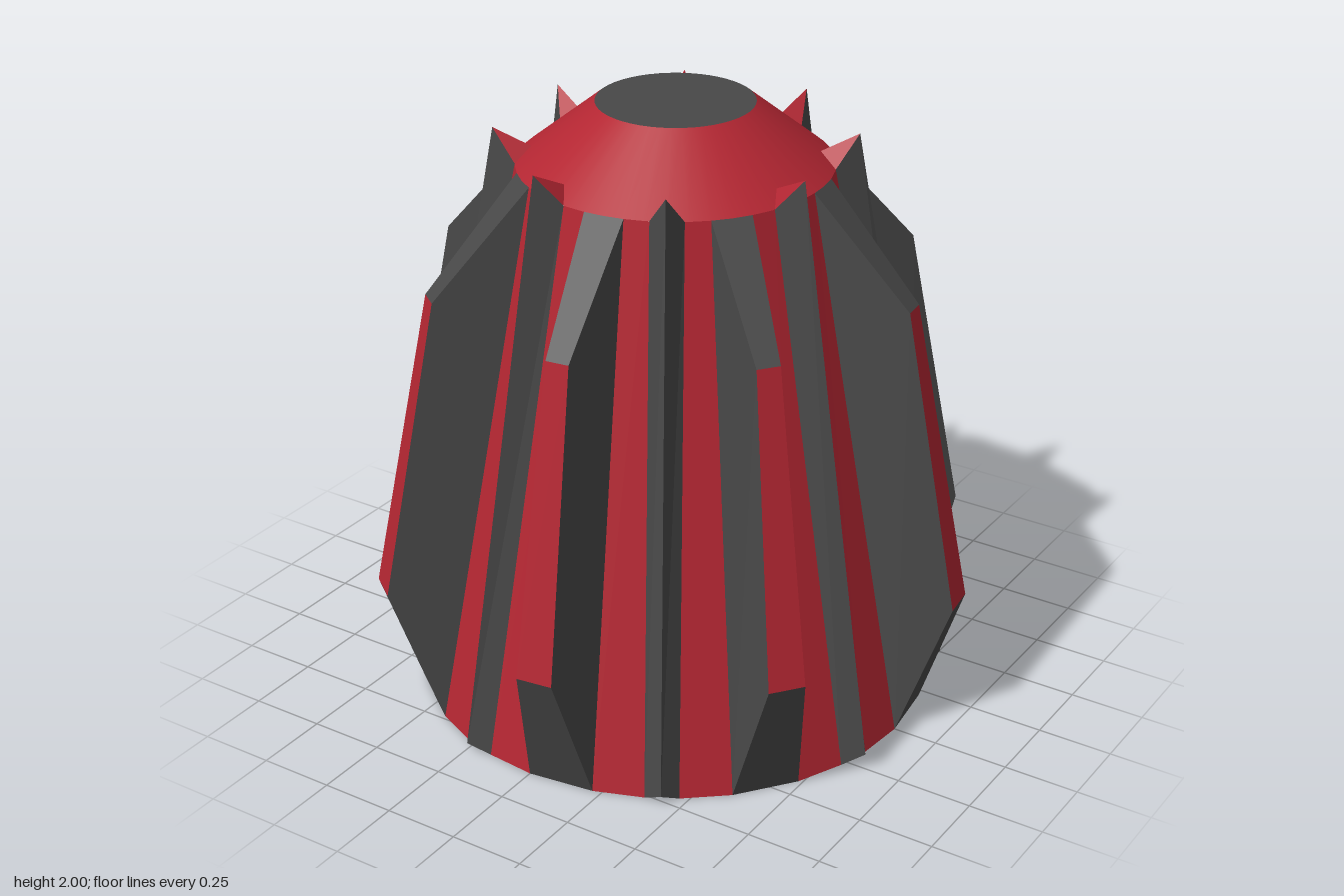
import * as THREE from 'three';

const red = new THREE.MeshStandardMaterial({ color: 0xb32632 });
red.name = 'red';
const grey = new THREE.MeshStandardMaterial({ color: 0x484848 });
grey.name = 'dark grey';

// Point at an angle (degrees from the front towards +x), radius and height
const P = (deg, r, y) => {
  const a = THREE.MathUtils.degToRad(deg);
  return [r * Math.sin(a), y, r * Math.cos(a)];
};

// Flat-faced geometry from convex polygons, corners counter-clockwise from outside
function facets(polygons) {
  const pos = [];
  for (const p of polygons)
    for (let i = 1; i < p.length - 1; i++) pos.push(...p[0], ...p[i], ...p[i + 1]);
  const g = new THREE.BufferGeometry();
  g.setAttribute('position', new THREE.Float32BufferAttribute(pos, 3));
  g.computeVertexNormals();
  return g;
}

function addMesh(parent, name, geometry, material) {
  const m = new THREE.Mesh(geometry, material);
  m.name = name;
  parent.add(m);
  return m;
}

const RB = 0.85, RT = 0.5, YT = 1.8; // body radii at floor and shoulder, shoulder height
const CENTRE = [0, 0, 0];

// Red wall panels and floor of one 45 degree sector
function wallGeometry() {
  const polys = [];
  for (const [a, b, c, d] of [[15, 26.3, 15, 24], [33.7, 45, 36, 45]]) {
    polys.push([P(a, RB, 0), P(b, RB, 0), P(d, RT, YT), P(c, RT, YT)]);
    polys.push([CENTRE, P(b, RB, 0), P(a, RB, 0)]);
  }
  polys.push([CENTRE, P(15, RB, 0), P(0, RB, 0)]);
  return facets(polys);
}

// Broad fin: tapered sides, sloping ends, red outer strip
function finGeometries() {
  const bB = [P(0, RB, 0), P(15, RB, 0)];
  const bT = [P(0, RT, YT), P(15, RT, YT)];
  const oB = [P(4.1, 1.003, 0.46), P(10.9, 1.003, 0.46)];
  const oT = [P(4.8, 0.808, 1.45), P(10.2, 0.808, 1.45)];
  return {
    sides: facets([
      [bB[0], oB[0], oT[0], bT[0]],
      [bT[1], oT[1], oB[1], bB[1]],
      [bB[0], bB[1], oB[1], oB[0]],
      [oT[0], oT[1], bT[1], bT[0]],
    ]),
    strip: facets([[oB[0], oB[1], oT[1], oT[0]]]),
  };
}

// Narrow ridge: sharp edge, grooved underside, red-backed spike at the shoulder
function ridgeGeometries() {
  const lB = P(26.3, RB, 0), rB = P(33.7, RB, 0);
  const lT = P(24, RT, YT), rT = P(36, RT, YT);
  const low = P(30, 0.9, 0.04), tip = P(30, 0.57, 1.9), inner = P(30, 0.45, 1.84);
  return {
    sides: facets([
      [lB, low, tip, lT],
      [low, rB, rT, tip],
      [CENTRE, low, lB],
      [CENTRE, rB, low],
    ]),
    back: facets([[inner, lT, tip], [inner, tip, rT]]),
  };
}

export function createModel() {
  const model = new THREE.Group();
  model.name = 'finnedBody';

  const wall = wallGeometry(), fin = finGeometries(), ridge = ridgeGeometries();
  for (let i = 0; i < 8; i++) {
    const sector = new THREE.Group();
    sector.name = `sector${i + 1}`;
    sector.rotation.y = (i * Math.PI) / 4;
    addMesh(sector, 'wall', wall, red);
    addMesh(sector, 'fin', fin.sides, grey);
    addMesh(sector, 'finStrip', fin.strip, red);
    addMesh(sector, 'ridge', ridge.sides, grey);
    addMesh(sector, 'spikeBack', ridge.back, red);
    model.add(sector);
  }

  // Smooth sloping shoulder and flat top
  const shoulder = new THREE.CylinderGeometry(0.25, RT, 0.2, 48, 1, true);
  addMesh(model, 'shoulder', shoulder, red).position.y = 1.9;
  const top = addMesh(model, 'topDisc', new THREE.CircleGeometry(0.25, 48), grey);
  top.rotation.x = -Math.PI / 2;
  top.position.y = 2;

  return model;
}
